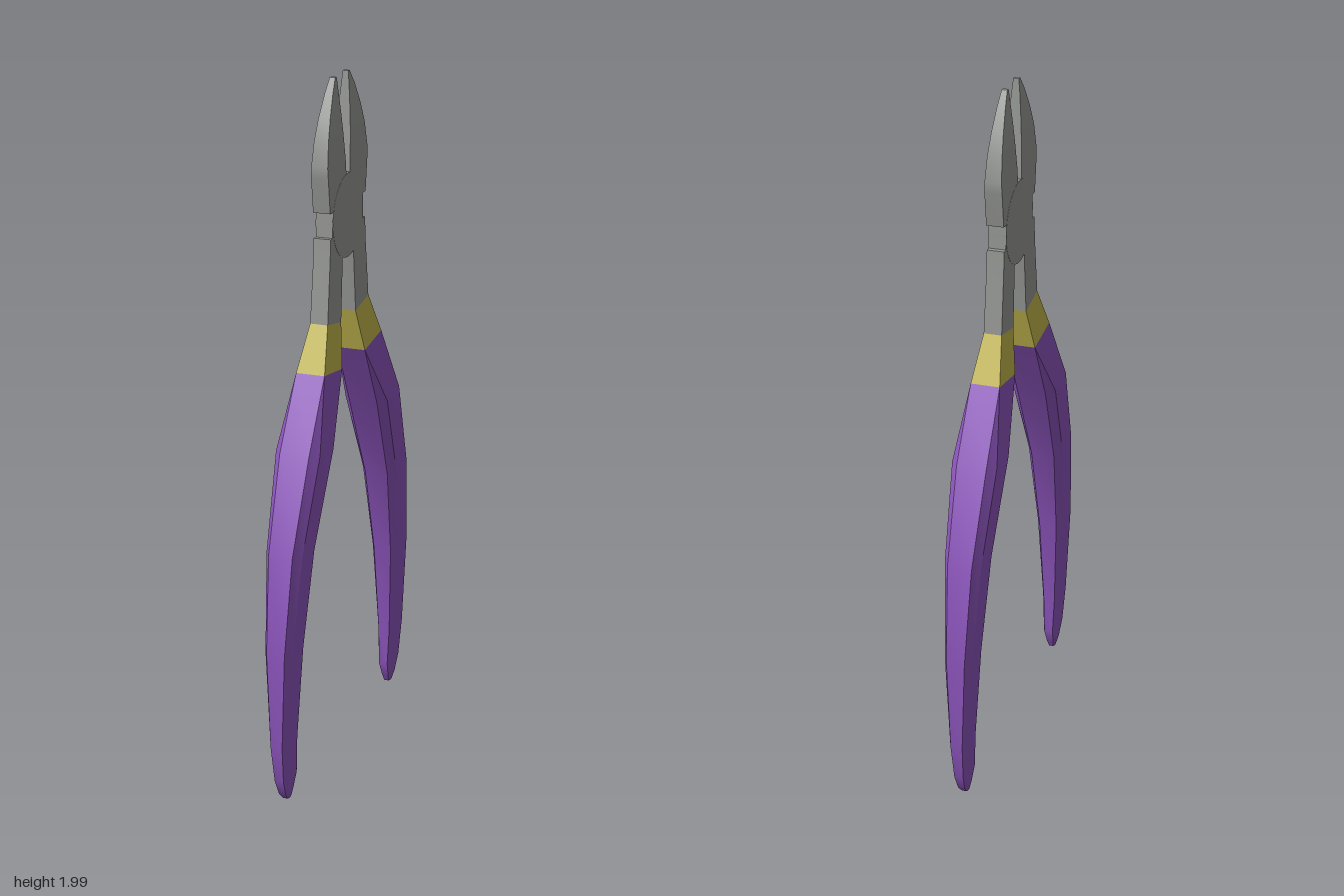
import * as THREE from 'three';

const steel = new THREE.MeshStandardMaterial({ color: 0x989a96 });
steel.name = 'steel';
const yellow = new THREE.MeshStandardMaterial({ color: 0xc2b74e });
yellow.name = 'yellowCollar';
const purple = new THREE.MeshStandardMaterial({ color: 0x8d55bd });
purple.name = 'purpleGrip';

// Ring: [outerZ, outerY, innerZ, innerY, halfThickness, bevel]; rings run downward
function section([oz, oy, iz, iy, hx, c = 0], side) {
  const w = c > 0 ? hx * 0.66 : hx;
  const t = c / (oz - iz);
  const pts = [[-w, 0], [w, 0], [hx, t], [hx, 1 - t], [w, 1], [-w, 1], [-hx, 1 - t], [-hx, t]].map(
    ([x, f]) => new THREE.Vector3(x, oy + (iy - oy) * f, side * (oz + (iz - oz) * f)));
  return side > 0 ? pts : pts.reverse();
}

// Lofts bevelled sections: smooth along the length, sharp between the sides
function loft(name, rings, material, side) {
  const secs = rings.map((r) => section(r, side));
  const pos = [];
  const idx = [];
  for (let j = 0; j < 8; j++) {
    const base = pos.length / 3;
    secs.forEach((s) => pos.push(...s[j].toArray(), ...s[(j + 1) % 8].toArray()));
    for (let i = 0; i < secs.length - 1; i++) {
      const a = base + i * 2;
      idx.push(a, a + 2, a + 3, a, a + 3, a + 1);
    }
  }
  // End caps
  [secs[0], secs[secs.length - 1]].forEach((s, end) => {
    const base = pos.length / 3;
    s.forEach((p) => pos.push(...p.toArray()));
    for (let k = 1; k < 7; k++) {
      if (end) idx.push(base, base + k + 1, base + k);
      else idx.push(base, base + k, base + k + 1);
    }
  });
  const geo = new THREE.BufferGeometry();
  geo.setAttribute('position', new THREE.Float32BufferAttribute(pos, 3));
  geo.setIndex(idx);
  geo.computeVertexNormals();
  const mesh = new THREE.Mesh(geo, material);
  mesh.name = name;
  return mesh;
}

const jaw = [
  [0.056, 2.0, 0.045, 2.0, 0.008],
  [0.085, 1.96, 0.041, 1.96, 0.012],
  [0.118, 1.9, 0.034, 1.9, 0.017],
  [0.142, 1.84, 0.027, 1.84, 0.021],
  [0.156, 1.77, 0.018, 1.77, 0.024],
  [0.154, 1.74, 0.016, 1.74, 0.025],
  [0.14, 1.64, 0.008, 1.64, 0.025],
];
const neck = [
  [0.118, 1.645, 0.0, 1.645, 0.0245],
  [0.122, 1.56, 0.0, 1.56, 0.0245],
];
const arm = [
  [0.136, 1.567, 0.03, 1.567, 0.025],
  [0.143, 1.49, 0.043, 1.49, 0.025],
  [0.163, 1.33, 0.058, 1.31, 0.026],
];
const collar = [
  [0.163, 1.33, 0.058, 1.31, 0.026],
  [0.23, 1.205, 0.092, 1.185, 0.042],
];
const grip = [
  [0.23, 1.205, 0.092, 1.185, 0.042],
  [0.352, 1.01, 0.195, 0.99, 0.065, 0.027],
  [0.46, 0.75, 0.31, 0.73, 0.053, 0.03],
  [0.502, 0.47, 0.368, 0.46, 0.04, 0.026],
  [0.501, 0.19, 0.386, 0.19, 0.026, 0.022],
  [0.483, 0.08, 0.381, 0.075, 0.02, 0.018],
  [0.46, 0.03, 0.4, 0.03, 0.015, 0.014],
  [0.437, 0.006, 0.412, 0.006, 0.01, 0.006],
];

export function createModel() {
  const model = new THREE.Group();
  model.name = 'pliers';

  // Two mirrored levers
  for (const side of [1, -1]) {
    const lever = new THREE.Group();
    lever.name = side > 0 ? 'frontLever' : 'backLever';
    lever.add(
      loft('jaw', jaw, steel, side),
      loft('neck', neck, steel, side),
      loft('arm', arm, steel, side),
      loft('collar', collar, yellow, side),
      loft('grip', grip, purple, side),
    );
    model.add(lever);
  }

  // Round pivot joint
  const pivot = new THREE.Mesh(new THREE.CylinderGeometry(0.12, 0.12, 0.051, 32), steel);
  pivot.name = 'pivotJoint';
  pivot.rotation.z = Math.PI / 2;
  pivot.position.y = 1.605;
  model.add(pivot);

  // Seat the lowest point on the ground
  const box = new THREE.Box3().setFromObject(model);
  model.position.y = -box.min.y;
  return model;
}
